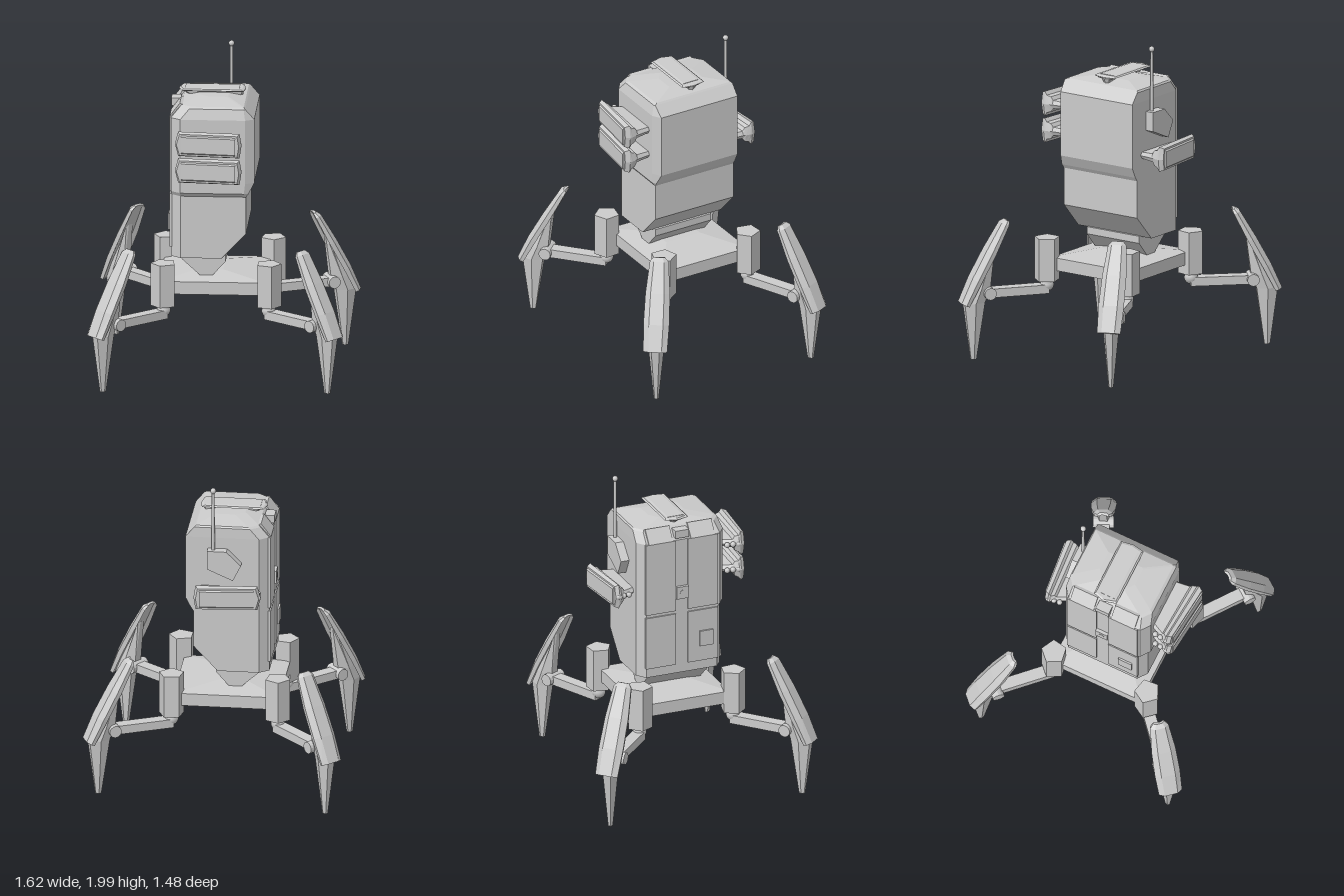
import * as THREE from 'three';

const mat = new THREE.MeshStandardMaterial({ color: 0xcccccc, flatShading: true });
const smooth = new THREE.MeshStandardMaterial({ color: 0xcccccc });

function add(parent, name, geo, pos = [0, 0, 0], material = mat) {
  const m = new THREE.Mesh(geo, material);
  m.name = name;
  m.position.set(...pos);
  parent.add(m);
  return m;
}

// Closed solid through rings of equal point count; faces turned outward by signed volume
function loft(rings) {
  const R = rings.map(r => r.map(p => new THREE.Vector3(...p)));
  const n = R[0].length, tris = [];
  for (let i = 0; i < R.length - 1; i++) {
    for (let j = 0; j < n; j++) {
      const k = (j + 1) % n;
      tris.push([R[i][j], R[i][k], R[i + 1][k]], [R[i][j], R[i + 1][k], R[i + 1][j]]);
    }
  }
  const cap = (r, flip) => {
    const c = r.reduce((s, p) => s.add(p), new THREE.Vector3()).divideScalar(n);
    r.forEach((p, j) => tris.push(flip ? [c, r[(j + 1) % n], p] : [c, p, r[(j + 1) % n]]));
  };
  cap(R[0], true);
  cap(R[R.length - 1], false);
  const v = new THREE.Vector3();
  const vol = tris.reduce((s, [a, b, c]) => s + a.dot(v.crossVectors(b, c)), 0);
  const pts = tris.flatMap(([a, b, c]) => (vol > 0 ? [a, b, c] : [a, c, b]));
  const g = new THREE.BufferGeometry().setFromPoints(pts);
  g.computeVertexNormals();
  return g;
}

// Outline in x,y extruded from z0 to z1
function slab(points, z0, z1) {
  const s = new THREE.Shape(points.map(p => new THREE.Vector2(...p)));
  return new THREE.ExtrudeGeometry(s, { depth: z1 - z0, bevelEnabled: false }).translate(0, 0, z0);
}

const rect = (y, x0, x1, z0, z1) => [[x0, y, z0], [x1, y, z0], [x1, y, z1], [x0, y, z1]];

// Body section with cut corners at front left, front right and back left of the outline
function bodyRing([y, xl, xr, zf, zb, cut]) {
  return [
    [xl + 0.06, y, zf], [xr - cut, y, zf], [xr, y, zf - cut * 0.6],
    [xr, y, zb], [xl + 0.06, y, zb], [xl, y, zb + 0.045], [xl, y, zf - 0.045],
  ];
}

// Floodlight facing local +z, mounted at z = 0; the lens is tilted slightly
function makeLight(name, depth, tilt) {
  const g = new THREE.Group();
  g.name = name;
  const stations = [
    [0, -0.12, 0.18, 0.02], [0.5, -0.16, 0.19, 0.026], [0.58, -0.165, 0.195, 0.048],
    [0.72, -0.18, 0.2, 0.055], [0.8, -0.18, 0.2, 0.078], [0.95, -0.17, 0.185, 0.068],
  ];
  add(g, 'lightHousing', loft(stations.map(([t, x0, x1, h]) =>
    [[x0, -h], [x1, -h], [x1 + 0.012, 0], [x1, h], [x0, h], [x0 - 0.02, 0]]
      .map(([x, y]) => [x, y, t * depth + t * tilt * x]))));
  add(g, 'lightLens', loft([0.92, 1].map((t, i) =>
    [[-0.16, -1], [0.175, -1], [0.175, 1], [-0.16, 1]]
      .map(([x, s]) => [x, s * (0.062 - i * 0.012), t * depth + t * tilt * x]))));
  return g;
}

function makeLeg(name, x, z, angle) {
  const leg = new THREE.Group();
  leg.name = name;
  leg.position.set(x, 0, z);
  leg.rotation.y = angle;

  // Pentagonal post, hip ball, arm and knee pin
  add(leg, 'post', new THREE.CylinderGeometry(0.08, 0.08, 0.27, 5, 1, false, -Math.PI / 2), [0, 0.615, 0]);
  add(leg, 'hipStub', new THREE.CylinderGeometry(0.04, 0.04, 0.06, 16), [0, 0.47, 0], smooth);
  add(leg, 'hipBall', new THREE.SphereGeometry(0.043, 16, 12), [0, 0.45, 0], smooth);
  add(leg, 'arm', new THREE.BoxGeometry(0.41, 0.055, 0.075), [0.2, 0.427, 0]);
  add(leg, 'kneePin', new THREE.CylinderGeometry(0.038, 0.038, 0.13, 14).rotateX(Math.PI / 2), [0.38, 0.43, 0]);

  // Tapered shin: y, inner reach, outer reach, half width
  const shin = [[0.01, 0.455, 0.49, 0.016], [0.37, 0.405, 0.535, 0.05], [0.46, 0.37, 0.5, 0.05], [0.74, 0.335, 0.35, 0.03]];
  add(leg, 'shin', loft(shin.map(([y, a, b, w]) =>
    [[a, -w * 0.5], [a * 0.5 + b * 0.5, -w], [b, -w * 0.5], [b, w * 0.5], [a * 0.5 + b * 0.5, w], [a, w * 0.5]]
      .map(([r, s]) => [r, y, s]))));

  // Curved armour channel: reach, height, half width, depth
  const armour = [[0.272, 0.885, 0.036, 0.4], [0.3, 0.868, 0.058, 0.75], [0.4, 0.7, 0.076, 1], [0.492, 0.53, 0.08, 1], [0.56, 0.375, 0.074, 0.8]];
  add(leg, 'shinArmour', loft(armour.map(([r, y, w, d]) =>
    [[0, -0.55], [0, 0.55], [0.03, 1], [0.06, 0.92], [0.04, 0.6], [0.04, -0.6], [0.06, -0.92], [0.03, -1]]
      .map(([o, s]) => [r - o * d * 0.9, y - o * d * 0.35, s * w]))));
  return leg;
}

export function createModel() {
  const model = new THREE.Group();
  model.name = 'walkerTurret';

  // Base platform with a shallow pyramid top, and the swivel neck
  add(model, 'platform', loft([
    rect(0.54, -0.385, 0.27, -0.3, 0.3), rect(0.62, -0.385, 0.27, -0.3, 0.3), rect(0.652, -0.16, 0.0, -0.12, 0.12),
  ]));
  add(model, 'neck', slab([[-0.14, 0.64], [-0.06, 0.64], [0.02, 0.73], [0.02, 0.775], [-0.26, 0.775], [-0.25, 0.74]], -0.19, 0.21));

  // Main body: y, left x, right x, front z, back z, corner cut
  add(model, 'body', loft([
    [0.77, -0.315, 0.0, 0.29, -0.27, 0.002], [0.93, -0.315, 0.15, 0.29, -0.27, 0.002],
    [1.165, -0.315, 0.15, 0.29, -0.27, 0.002], [1.19, -0.315, 0.167, 0.31, -0.27, 0.03],
    [1.255, -0.315, 0.2, 0.31, -0.27, 0.055],
    [1.66, -0.315, 0.2, 0.31, -0.27, 0.055], [1.725, -0.26, 0.145, 0.293, -0.268, 0.01],
    [1.735, -0.25, 0.135, 0.275, -0.26, 0.01], [1.757, -0.15, 0.03, 0.12, -0.12, 0.01],
  ].map(bodyRing)));

  // Door leaves folding over the top edge, with latch and control box
  for (const s of [-1, 1]) {
    const z = s * 0.14 + 0.01;
    for (const [y0, y1] of [[0.83, 1.17], [1.19, 1.66]]) {
      add(model, 'doorLeaf', new THREE.BoxGeometry(0.02, y1 - y0, 0.2), [-0.314, (y0 + y1) / 2, z]);
    }
    add(model, 'doorHood', slab([[-0.324, 1.66], [-0.262, 1.742], [-0.24, 1.735], [-0.3, 1.64]], z - 0.08, z + 0.08));
  }
  add(model, 'doorLatch', new THREE.BoxGeometry(0.03, 0.08, 0.08), [-0.32, 1.31, 0.01]);
  add(model, 'latchKnob', new THREE.CylinderGeometry(0.018, 0.018, 0.03, 10).rotateZ(Math.PI / 2), [-0.322, 1.31, 0.01]);
  add(model, 'controlBox', new THREE.BoxGeometry(0.03, 0.1, 0.09), [-0.32, 0.98, 0.17]);
  add(model, 'topClamp', new THREE.BoxGeometry(0.06, 0.05, 0.09), [-0.295, 1.7, 0.01]);

  // Floodlights: two in front, one behind, one flat on the roof
  const place = (light, x, y, z) => {
    light.position.set(x, y, z);
    model.add(light);
    return light;
  };
  const lights = [[1.54, 1], [1.37, 1], [1.32, -1]];
  for (const [y, s] of lights) {
    const light = makeLight(s > 0 ? 'frontLight' : 'backLight', 0.17, 0.1 * s * s);
    if (s < 0) {
      // Rear light is turned around; its geometry is mirrored in x so it keeps the same ends
      light.rotation.y = Math.PI;
      light.children.forEach(m => {
        const p = m.geometry.attributes.position;
        for (let i = 0; i < p.count; i += 3) {
          const t = [0, 2, 1].map(k => [-p.getX(i + k), p.getY(i + k), p.getZ(i + k)]);
          t.forEach((q, k) => p.setXYZ(i + k, ...q));
        }
        m.geometry.computeVertexNormals();
      });
    }
    place(light, -0.08, y, s > 0 ? 0.305 : -0.265);
    // Cable plugs at one end of the housing
    for (let i = 0; i < 3; i++) {
      add(model, 'cablePlug', new THREE.SphereGeometry(0.018, 10, 8), [-0.255 - i * 0.004, y, s * (0.34 + i * 0.037) + (s < 0 ? 0.025 : 0)], smooth);
    }
  }
  const roof = place(makeLight('roofLight', 0.052, 0), -0.08, 1.738, 0);
  roof.rotation.x = -Math.PI / 2;

  // Antenna with its back bracket
  add(model, 'antennaBracket', slab([[0.06, 1.59], [-0.06, 1.59], [-0.15, 1.5], [-0.1, 1.4], [0.06, 1.47]], -0.325, -0.26));
  add(model, 'antennaPole', new THREE.CylinderGeometry(0.009, 0.011, 0.42, 10), [0.025, 1.77, -0.29], smooth);
  add(model, 'antennaTip', new THREE.SphereGeometry(0.018, 12, 10), [0.025, 1.982, -0.29], smooth);

  // Four legs: post position and heading
  const legs = [
    ['frontRightLeg', -0.355, 0.335, -0.42, 0.37], ['backRightLeg', -0.375, -0.295, -0.39, -0.395],
    ['frontLeftLeg', 0.29, 0.315, 0.45, 0.335], ['backLeftLeg', 0.283, -0.29, 0.53, -0.24],
  ];
  for (const [name, x, z, dx, dz] of legs) model.add(makeLeg(name, x, z, Math.atan2(-dz, dx)));

  return model;
}
